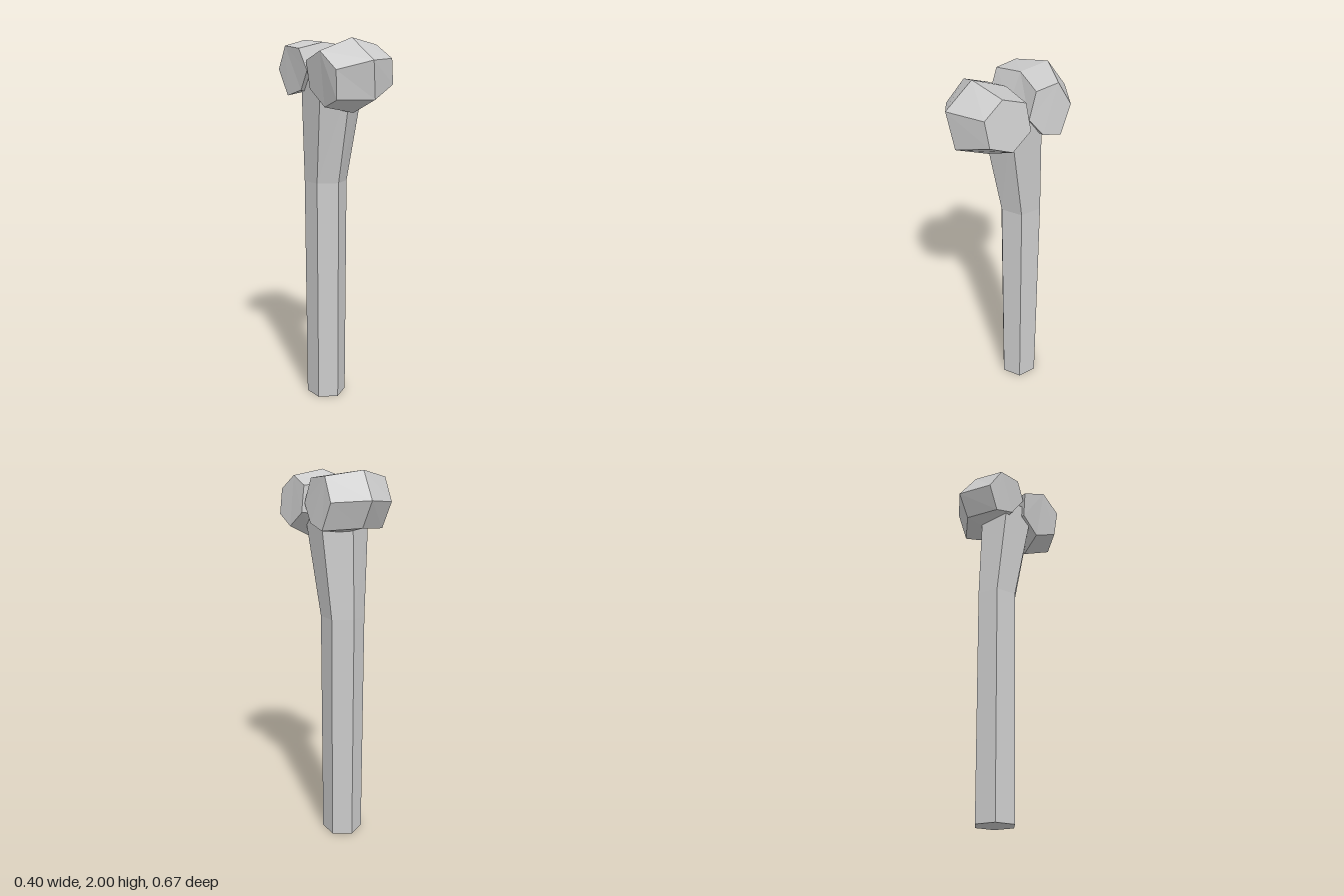
import * as THREE from 'three';

const material = new THREE.MeshStandardMaterial({ color: 0xcccccc, flatShading: true });

// Closed loft through rings of [x, y, z] points; rings run counter-clockwise about the loft axis.
function loft(name, rings) {
  const n = rings[0].length;
  const index = [];
  for (let r = 0; r < rings.length - 1; r++) {
    for (let i = 0; i < n; i++) {
      const j = (i + 1) % n;
      const a = r * n + i, b = r * n + j;
      index.push(a, b, b + n, a, b + n, a + n);
    }
  }
  const last = (rings.length - 1) * n;
  for (let i = 1; i < n - 1; i++) {
    index.push(0, i + 1, i);
    index.push(last, last + i, last + i + 1);
  }
  let geometry = new THREE.BufferGeometry();
  geometry.setAttribute('position', new THREE.Float32BufferAttribute(rings.flat(2), 3));
  geometry.setIndex(index);
  geometry = geometry.toNonIndexed();
  geometry.computeVertexNormals();
  const mesh = new THREE.Mesh(geometry, material);
  mesh.name = name;
  return mesh;
}

// Six-sided shaft section: left/right x, then z of front ridge, side edges and back ridge.
function shaftRing(y, x0, x1, front, sideFront, sideBack, back) {
  const mid = (x0 + x1) / 2;
  return [
    [mid, y, front], [x1, y, sideFront], [x1, y, sideBack],
    [mid, y, back], [x0, y, sideBack], [x0, y, sideFront],
  ];
}

export function createModel() {
  const bone = new THREE.Group();
  bone.name = 'bone';

  // Straight shaft that flares and leans forward at the top
  bone.add(loft('shaft', [
    shaftRing(0, -0.105, 0.085, 0.037, -0.02, -0.13, -0.185),
    shaftRing(1.25, -0.11, 0.09, 0.043, -0.016, -0.132, -0.19),
    shaftRing(1.82, -0.153, 0.135, 0.155, 0.08, -0.092, -0.172),
  ]));

  // Front knuckle: small, large, small hexagons from right to left
  bone.add(loft('frontKnuckle', [
    [[-0.197, 1.935, 0.135], [-0.18, 1.845, 0.245], [-0.165, 1.7, 0.23],
      [-0.15, 1.66, 0.11], [-0.17, 1.75, 0.01], [-0.19, 1.89, 0.006]],
    [[-0.035, 2, 0.182], [-0.018, 1.89, 0.334], [0.013, 1.7, 0.31],
      [0.015, 1.627, 0.135], [0, 1.78, 0], [-0.025, 1.93, 0.005]],
    [[0.16, 1.97, 0.14], [0.177, 1.9, 0.245], [0.198, 1.77, 0.232],
      [0.2, 1.715, 0.11], [0.187, 1.79, 0.003], [0.165, 1.925, 0.017]],
  ]));

  // Back knuckle
  bone.add(loft('backKnuckle', [
    [[-0.203, 1.965, -0.165], [-0.197, 1.95, -0.048], [-0.18, 1.84, 0],
      [-0.17, 1.74, -0.07], [-0.18, 1.71, -0.18], [-0.197, 1.845, -0.237]],
    [[-0.03, 2, -0.235], [-0.022, 1.985, -0.073], [-0.01, 1.84, -0.005],
      [0, 1.69, -0.11], [-0.005, 1.725, -0.27], [-0.018, 1.86, -0.334]],
    [[0.15, 1.972, -0.17], [0.157, 1.962, -0.042], [0.17, 1.837, 0.003],
      [0.178, 1.743, -0.073], [0.172, 1.713, -0.18], [0.158, 1.85, -0.242]],
  ]));

  return bone;
}
